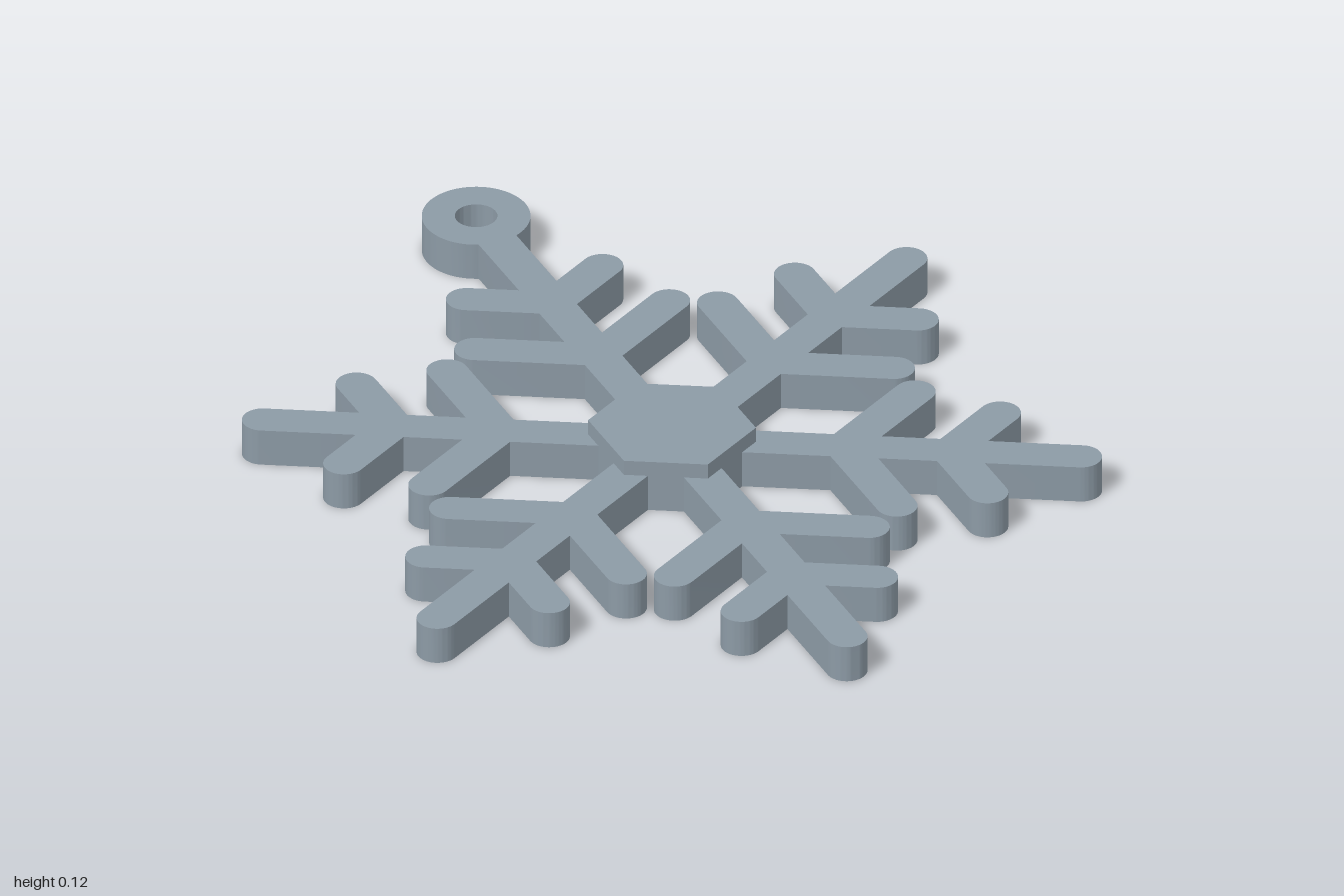
import * as THREE from 'three';
import { toCreasedNormals } from 'three/addons/utils/BufferGeometryUtils.js';

const W = 0.044;          // half width of every bar
const THICK = 0.085;
const CENTRE_Z = 0.088;   // flake centre, offset because of the hanging ring
const ARM = 0.868;        // distance to the centre of the arm's round tip
const BRANCHES = [{ at: 0.365, len: 0.262 }, { at: 0.591, len: 0.183 }];

// Outline of the whole flake: six arms with two pairs of round-ended branches
function flakeShape() {
  const shape = new THREE.Shape();
  const S = Math.sin(Math.PI / 3), C = 0.5, DEG = Math.PI / 180;
  for (let i = 0; i < 6; i++) {
    const turn = i * Math.PI / 3, c = Math.cos(turn), s = Math.sin(turn);
    const rot = (x, y) => [x * c - y * s, x * s + y * c];
    const line = (x, y) => shape.lineTo(...rot(x, y));
    const cap = (x, y, from) =>
      shape.absarc(...rot(x, y), W, from * DEG + turn, (from + 180) * DEG + turn, false);

    if (i === 0) shape.moveTo(W, W * Math.sqrt(3));
    else line(W, W * Math.sqrt(3));
    for (const { at, len } of BRANCHES) {
      line(W, at - W / Math.sqrt(3));
      cap(len * S, at + len * C, -60);
      line(W, at + W * Math.sqrt(3));
    }
    cap(0, ARM, 0);
    for (const { at, len } of [...BRANCHES].reverse()) {
      line(-W, at + W * Math.sqrt(3));
      cap(-len * S, at + len * C, 60);
      line(-W, at - W / Math.sqrt(3));
    }
  }
  shape.closePath();
  return shape;
}

// Extrude a flat shape upward from y = 0, keeping round ends smooth
function slab(shape, height, curveSegments) {
  const geo = new THREE.ExtrudeGeometry(shape, { depth: height, bevelEnabled: false, curveSegments });
  geo.rotateX(-Math.PI / 2);
  return toCreasedNormals(geo, 0.5);
}

export function createModel() {
  const group = new THREE.Group();
  group.name = 'snowflakeOrnament';
  const metal = new THREE.MeshStandardMaterial({ color: 0x8c9aa5 });
  metal.name = 'blueGrey';
  const add = (name, geo, z) => {
    const mesh = new THREE.Mesh(geo, metal);
    mesh.name = name;
    mesh.position.z = z;
    group.add(mesh);
  };

  add('flakeArms', slab(flakeShape(), THICK, 16), CENTRE_Z);

  // Raised hexagonal hub with corners pointing along z
  const hub = new THREE.Shape();
  for (let i = 0; i < 6; i++) {
    const a = Math.PI / 2 + i * Math.PI / 3;
    hub[i ? 'lineTo' : 'moveTo'](0.178 * Math.cos(a), 0.178 * Math.sin(a));
  }
  hub.closePath();
  add('hexagonHub', slab(hub, 0.12, 1), CENTRE_Z);

  // Hanging ring at the tip of the back arm
  const ring = new THREE.Shape().absarc(0, 0, 0.115, 0, Math.PI * 2, false);
  ring.holes.push(new THREE.Path().absarc(0, 0, 0.045, 0, Math.PI * 2, true));
  add('hangingRing', slab(ring, THICK, 40), -0.885);

  return group;
}
